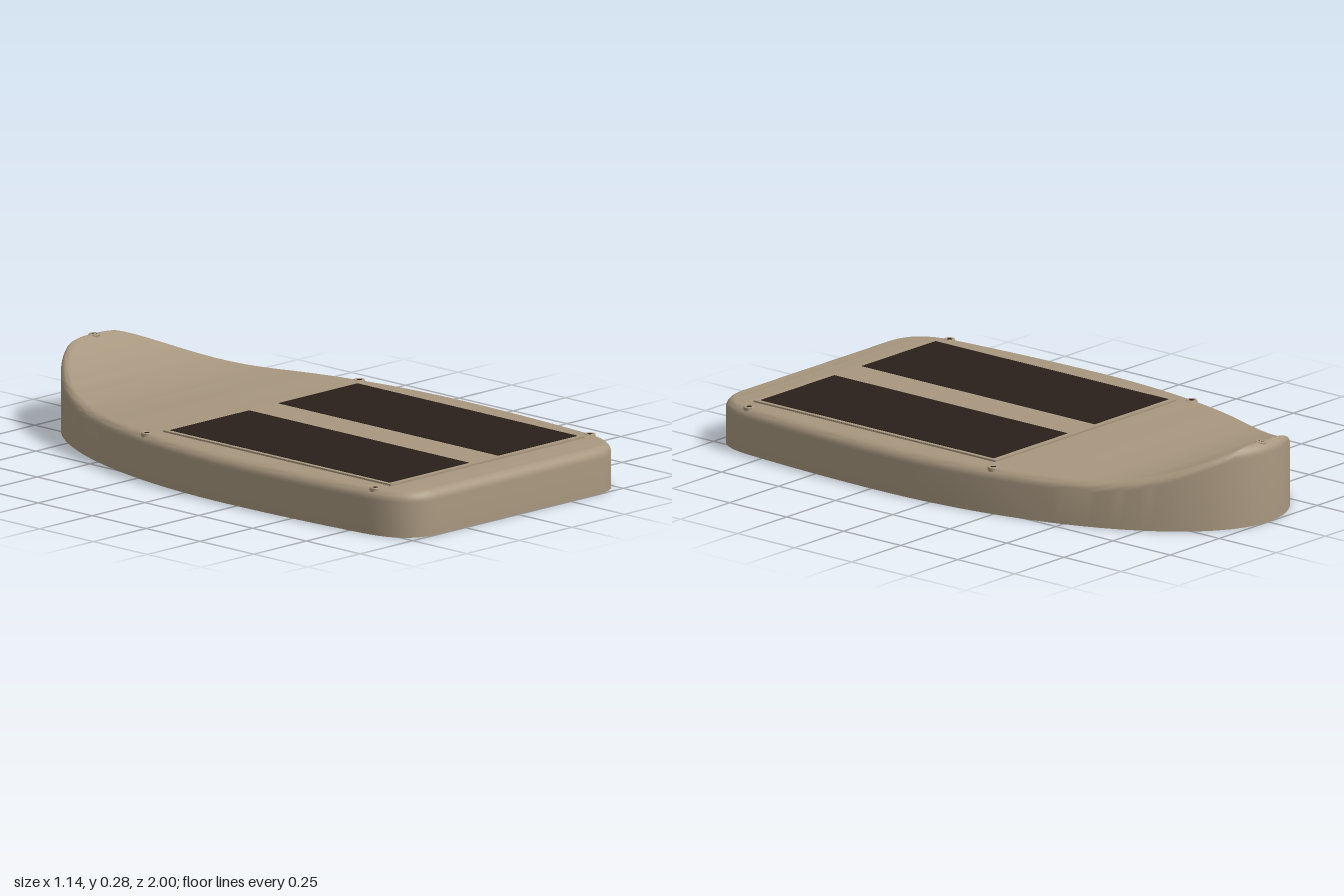
import * as THREE from 'three';
import { toCreasedNormals } from 'three/addons/utils/BufferGeometryUtils.js';

const V = (x, z) => new THREE.Vector2(x, z);
const FILLET = 0.035, INSET = 0.07, CEILING = 0.12;

// Deck height: flat, sweeping up to the bow
const deckHeight = z => 0.155 + 0.12 * Math.pow(Math.max(0, (-0.5 - Math.max(z, -0.965)) / 0.465), 2.5);

// Half outline in x, z from the bow tip to the end of the stern corner
function halfOutline() {
  const pts = [];
  for (let i = 0; i < 40; i++) {
    const a = (i / 40) * Math.PI / 2;
    pts.push(V(0.57 * Math.sin(a), 0.2 - 1.2 * Math.cos(a)));
  }
  const side = new THREE.QuadraticBezierCurve(V(0.57, 0.2), V(0.57, 0.5), V(0.54, 0.82));
  const corner = new THREE.QuadraticBezierCurve(V(0.54, 0.82), V(0.523, 1), V(0.37, 1));
  pts.push(...side.getPoints(8).slice(0, -1), ...corner.getPoints(12));
  return pts;
}

// Half outline moved inwards along its normals
function insetOutline(pts, d) {
  return pts.map((p, i) => {
    const prev = i ? pts[i - 1] : V(-pts[1].x, pts[1].y);
    const next = i < pts.length - 1 ? pts[i + 1] : V(p.x - 0.2, p.y);
    const t = next.clone().sub(prev).normalize();
    return V(i ? p.x - t.y * d : 0, p.y + t.x * d);
  });
}

// Full closed loop from a half outline
const mirrorLoop = half => [...half, ...half.slice(1).reverse().map(p => V(-p.x, p.y))];

// Shell: loops run from the cavity ceiling, round the bottom rim, up to the deck
function shellGeometry(half) {
  const rings = [];
  const ring = (inset, yOf) =>
    rings.push(mirrorLoop(insetOutline(half, inset)).map(p => [p.x, yOf(p.y), p.y]));
  for (let k = 0; k <= 4; k++) {
    const a = (k / 4) * Math.PI / 2;
    ring(INSET + 0.02 * (1 - Math.sin(a)), () => CEILING - 0.02 * (1 - Math.cos(a)));
  }
  ring(INSET, () => 0);
  ring(0, () => 0);
  for (let k = 0; k <= 7; k++) {
    const a = (k / 7) * Math.PI / 2;
    ring(FILLET * (1 - Math.cos(a)), z => deckHeight(z) - FILLET * (1 - Math.sin(a)));
  }
  const n = rings[0].length, index = [];
  for (let r = 0; r < rings.length - 1; r++) {
    for (let i = 0; i < n; i++) {
      const a = r * n + i, b = r * n + (i + 1) % n;
      index.push(a, a + n, b, b, a + n, b + n);
    }
  }
  // Deck: strips between mirrored points
  const o = (rings.length - 1) * n;
  for (let i = 0; i < half.length - 1; i++) {
    const r0 = o + i, r1 = r0 + 1, l0 = o + (n - i) % n, l1 = o + n - i - 1;
    if (i) index.push(r0, l0, r1);
    index.push(r1, l0, l1);
  }
  const g = new THREE.BufferGeometry();
  g.setAttribute('position', new THREE.Float32BufferAttribute(rings.flat(2), 3));
  g.setIndex(index);
  return toCreasedNormals(g, 0.6);
}

const rectPoints = (x0, x1, z0, z1) => [V(x0, z0), V(x1, z0), V(x1, z1), V(x0, z1)];

// Horizontal plate with holes, between two heights
function plateGeometry(points, holes, y0, y1) {
  const shape = new THREE.Shape(points);
  holes.forEach(h => shape.holes.push(new THREE.Path(h)));
  return new THREE.ExtrudeGeometry(shape, { depth: y1 - y0, bevelEnabled: false })
    .rotateX(Math.PI / 2).translate(0, y1, 0);
}

export function createModel() {
  const group = new THREE.Group();
  const body = new THREE.MeshStandardMaterial({ color: 0xa8977f });
  const dark = new THREE.MeshStandardMaterial({ color: 0x2a201b });
  const add = (name, geometry, material = body) => {
    const m = new THREE.Mesh(geometry, material);
    m.name = name;
    group.add(m);
    return m;
  };

  const half = halfOutline();
  add('hullShell', shellGeometry(half));

  // Cavity ceiling with two pockets, each with two small wiring recesses
  const pockets = [], recesses = [];
  for (const s of [-1, 1]) {
    pockets.push(rectPoints(s * 0.25 - 0.17, s * 0.25 + 0.17, -0.16, 0.8));
    for (const z of [-0.1, 0.74])
      recesses.push(rectPoints(s * 0.26 - 0.06, s * 0.26 + 0.06, z - 0.045, z + 0.045));
  }
  add('cavityCeiling', plateGeometry(mirrorLoop(insetOutline(half, INSET + 0.02)), pockets, CEILING, 0.138));
  add('pocketCeiling', plateGeometry(rectPoints(-0.45, 0.45, -0.19, 0.83), recesses, 0.138, 0.148));

  // Raised panel bed and the two dark panels
  const bed = new THREE.BoxGeometry(0.92, 0.013, 1.06);
  add('panelBed', bed).position.set(0, 0.1545, 0.33);
  for (const s of [-1, 1]) {
    const panel = add('solarPanel', new THREE.BoxGeometry(0.375, 0.006, 1.02), dark);
    panel.position.set(s * 0.2575, 0.1595, 0.33);
  }

  // Screw seats on the deck, with bosses inside the cavity
  const seat = new THREE.LatheGeometry(
    [V(0.008, 0), V(0.008, 0.008), V(0.011, 0.01), V(0.017, 0.01), V(0.019, 0.008), V(0.019, -0.01)].reverse(), 24);
  const seatGeometry = toCreasedNormals(seat, 0.5);
  seatGeometry.computeBoundingSphere();
  const seatMaterial = body.clone();
  seatMaterial.side = THREE.DoubleSide;
  const addScrew = (x, y, z) => {
    add('screwSeat', seatGeometry, seatMaterial).position.set(x, y - 0.008, z);
    add('screwHole', new THREE.CylinderGeometry(0.009, 0.009, 0.008, 20), dark).position.set(x, y - 0.003, z);
  };
  for (const s of [-1, 1]) {
    for (const [x, z] of [[0.505, -0.23], [0.51, 0.835]]) {
      addScrew(s * x, 0.155, z);
      const boss = add('screwBoss', new THREE.CylinderGeometry(0.045, 0.045, 0.122, 28));
      boss.position.set(s * (x - 0.035), 0.063, z - (z > 0 ? 0.02 : 0));
    }
  }
  addScrew(0, 0.273, -0.968);

  return group;
}
